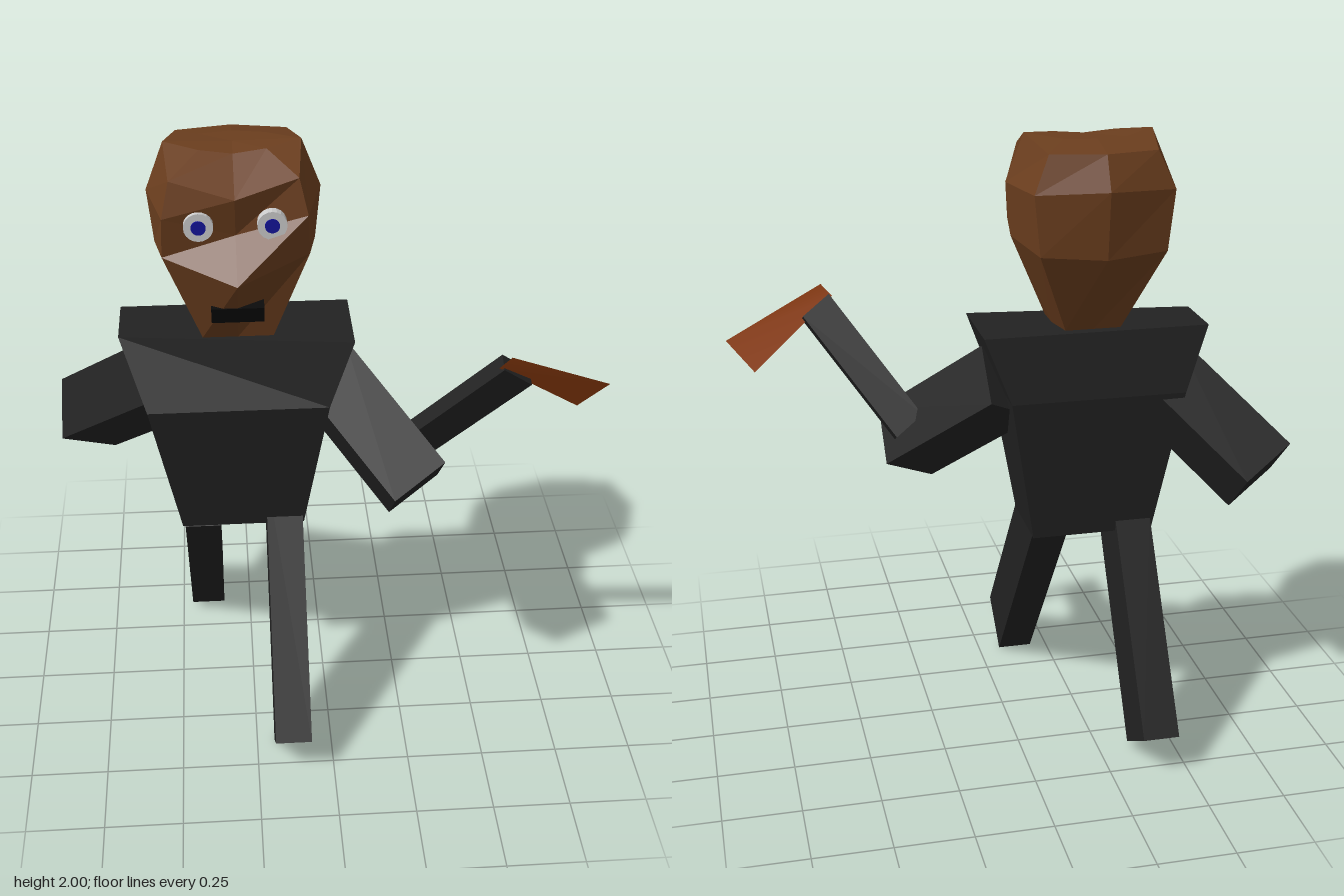
import * as THREE from 'three';

const mat = (color) => new THREE.MeshStandardMaterial({ color, flatShading: true });
const suit = mat(0x222222), wood = mat(0x6b3e1e), black = mat(0x0b0b0b);
const white = mat(0xe0e0e0), blue = mat(0x14149a);
const rust = new THREE.MeshStandardMaterial({ color: 0x96400f, side: THREE.DoubleSide });

// Closed solid through rings of [x, y, z] points, with fan caps at both ends
function loft(rings) {
  const n = rings[0].length, tris = [];
  for (let r = 0; r + 1 < rings.length; r++) {
    for (let i = 0; i < n; i++) {
      const j = (i + 1) % n;
      const [a, b, c, d] = [rings[r][i], rings[r][j], rings[r + 1][j], rings[r + 1][i]];
      tris.push([a, b, c], [a, c, d]);
    }
  }
  const centre = (ring) => [0, 1, 2].map((k) => ring.reduce((s, p) => s + p[k], 0) / n);
  const first = rings[0], last = rings[rings.length - 1];
  const c0 = centre(first), c1 = centre(last);
  for (let i = 0; i < n; i++) {
    const j = (i + 1) % n;
    tris.push([c0, first[j], first[i]], [c1, last[i], last[j]]);
  }
  // Signed volume decides whether the winding has to be turned outward
  let volume = 0;
  for (const t of tris) {
    const [a, b, c] = t.map((p) => new THREE.Vector3(...p));
    volume += a.dot(b.cross(c));
  }
  if (volume < 0) tris.forEach((t) => t.reverse());
  const g = new THREE.BufferGeometry();
  g.setAttribute('position', new THREE.Float32BufferAttribute(tris.flat(2), 3));
  g.computeVertexNormals();
  return g;
}

// Prism: a quad swept along a direction
const prism = (quad, dir) => loft([quad, quad.map((p) => p.map((v, k) => v + dir[k]))]);

export function createModel() {
  const model = new THREE.Group();
  const add = (name, geometry, material, parent = model) => {
    const mesh = new THREE.Mesh(geometry, material);
    mesh.name = name;
    parent.add(mesh);
    return mesh;
  };

  // Torso: tapered, widest front to back at the chest, shoulders slightly twisted
  const section = (x0, x1, y, back, front0, front1 = front0) =>
    [[x0, y, back], [x1, y, back], [x1, y, front1], [x0, y, front0]];
  add('torso', loft([
    section(-0.47, -0.07, 0.7, -0.16, 0.1),
    section(-0.56, 0.01, 1.18, -0.195, 0.17),
    section(-0.64, 0.09, 1.39, -0.155, 0.05, 0.135),
  ]), suit);

  // Legs in mid stride: side outline swept across the leg's width
  const leg = (name, x, outline) =>
    add(name, prism(outline.map(([z, y]) => [x, y, z]), [0.118, 0, 0]), suit);
  leg('leftLeg', -0.192, [[0.545, 0.13], [0.385, 0], [-0.16, 0.74], [0, 0.865]]);
  leg('rightLeg', -0.465, [[-0.545, 0.13], [-0.365, 0.018], [0.02, 0.64], [-0.16, 0.74]]);

  // Upper arms, from the end face back into the shoulder
  add('rightArm', prism([
    [-0.87, 1.03, -0.33], [-0.87, 0.885, -0.18], [-0.7, 0.8, -0.26], [-0.7, 0.945, -0.41],
  ], [0.3, 0.3, 0.3]), suit);
  add('leftArm', prism([
    [0.365, 1.03, 0.28], [0.365, 0.885, 0.13], [0.2, 0.8, 0.21], [0.2, 0.945, 0.36],
  ], [-0.295, 0.295, -0.295]), suit);

  // Raised handle
  const w = [0.045, -0.033, -0.01], t = [0, 0.0125, -0.025];
  const end = [[-1, -1], [1, -1], [1, 1], [-1, 1]].map(([a, b]) =>
    [0.56, 1.385, 0.33].map((v, k) => v + a * w[k] + b * t[k]));
  add('handle', prism(end, [-0.27, -0.37, -0.21]), suit);

  // Thin flared blade
  const blade = new THREE.BufferGeometry();
  blade.setAttribute('position', new THREE.Float32BufferAttribute([
    0.5, 1.41, 0.36, 0.775, 1.2, 0.245, 0.86, 1.3, 0.29, 0.535, 1.45, 0.37], 3));
  blade.setIndex([0, 1, 2, 0, 2, 3]);
  blade.computeVertexNormals();
  add('blade', blade, rust);

  // Head: half rings from front to back, mirrored; the second ring holds the nose
  const head = new THREE.Group();
  head.name = 'head';
  head.position.x = -0.268;
  model.add(head);
  const halves = [
    [[0, 1.39, 0.07], [0.11, 1.39, 0.07], [0.11, 1.39, -0.02], [0.09, 1.39, -0.12], [0, 1.39, -0.12]],
    [[0, 1.65, 0.255], [0.22, 1.7, 0.14], [0.245, 1.68, -0.02], [0.2, 1.66, -0.23], [0, 1.65, -0.27]],
    [[0, 1.77, 0.15], [0.215, 1.83, 0.16], [0.262, 1.85, -0.02], [0.22, 1.85, -0.23], [0, 1.86, -0.285]],
    [[0, 1.89, 0.175], [0.19, 1.94, 0.14], [0.205, 2, -0.02], [0.17, 1.965, -0.2], [0, 1.965, -0.235]],
  ];
  const mirrored = (half) =>
    [...half, ...half.slice(1, -1).reverse().map(([x, y, z]) => [-x, y, z])];
  const rings = halves.map(mirrored);
  rings.push(mirrored([[0, 1.98, 0.04], [0.1, 1.99, 0.03], [0.2, 2, -0.02], [0.1, 1.99, -0.1], [0, 1.99, -0.12]]));
  add('skull', loft(rings), wood, head);

  // Eyes: flat discs with a smaller iris
  for (const [side, x] of [['left', 0.108], ['right', -0.108]]) {
    for (const [part, radius, z, material] of [['Eye', 0.044, 0.165, white], ['Iris', 0.022, 0.169, blue]]) {
      const disc = add(side + part, new THREE.CylinderGeometry(radius, radius, 0.03, 20), material, head);
      disc.rotation.x = Math.PI / 2;
      disc.position.set(x, 1.81, z);
    }
  }

  // Mouth: slanted bar following the slope of the chin
  add('mouth', prism([
    [-0.08, 1.545, 0.184], [0.08, 1.545, 0.184], [0.08, 1.472, 0.132], [-0.08, 1.472, 0.132],
  ], [0, 0, -0.07]), black, head);

  return model;
}
